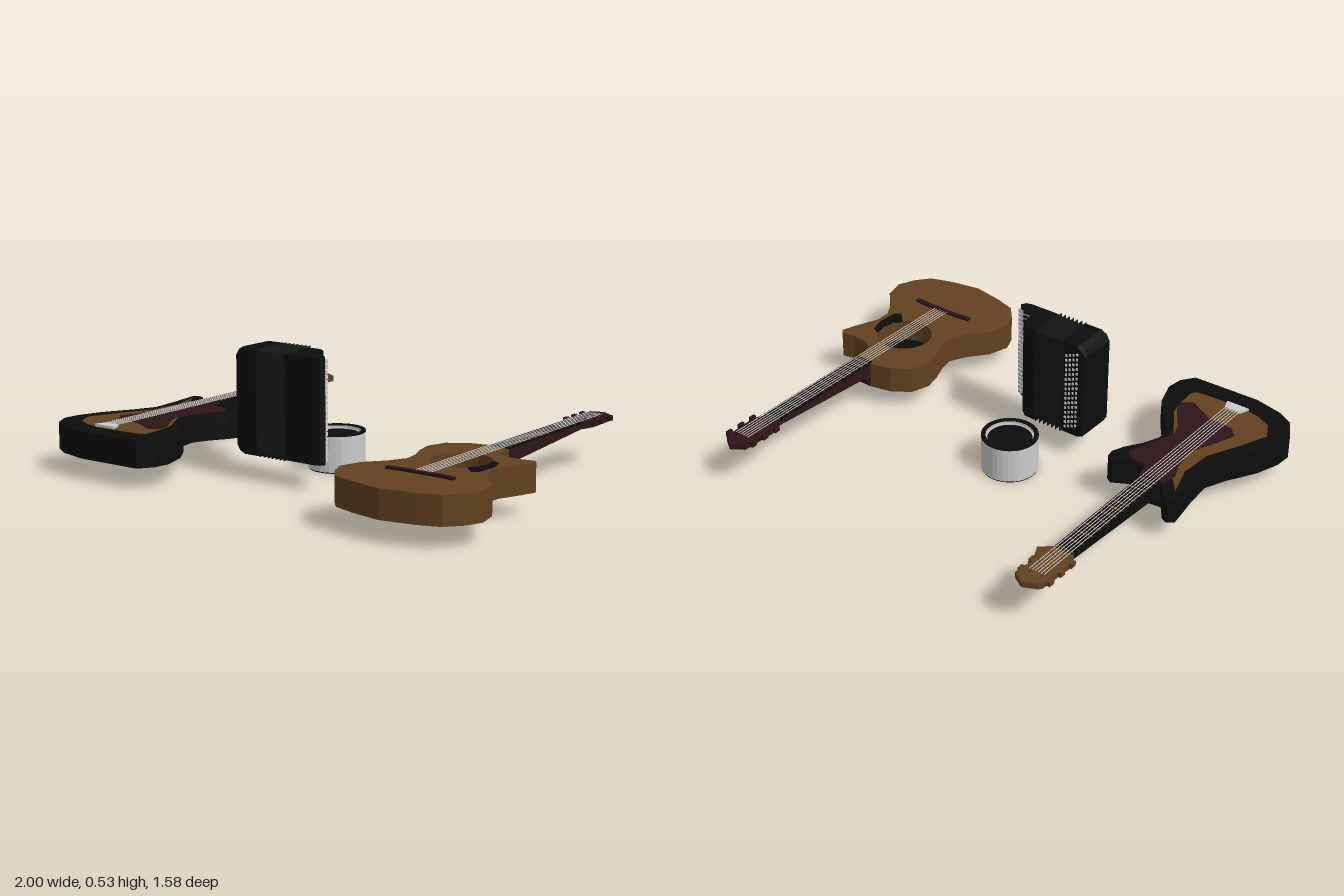
import * as THREE from 'three';

const mat = (color) => new THREE.MeshStandardMaterial({ color, flatShading: true });
const black = mat(0x0d0d0d), brown = mat(0x62411f), maroon = mat(0x2e1518), grey = mat(0xcccccc);

function add(parent, name, geometry, material, x = 0, y = 0, z = 0) {
  const mesh = new THREE.Mesh(geometry, material);
  mesh.name = name;
  mesh.position.set(x, y, z);
  parent.add(mesh);
  return mesh;
}
const box = (w, h, d) => new THREE.BoxGeometry(w, h, d);

// Extrude an outline given as [x, z] pairs from height y0 up to y1
function plan(points, y0, y1, hole) {
  const shape = new THREE.Shape(points.map(([x, z]) => new THREE.Vector2(x, -z)));
  if (hole) {
    const path = new THREE.Path();
    path.absarc(hole.x, -hole.z, hole.r, 0, Math.PI * 2, true);
    shape.holes.push(path);
  }
  const g = new THREE.ExtrudeGeometry(shape, { depth: y1 - y0, bevelEnabled: false, curveSegments: 12 });
  return g.rotateX(-Math.PI / 2).translate(0, y0, 0);
}

// Neck, frets, headstock, tuners and strings, shared by both guitars
function addNeck(g, cx, { neckMat, headMat, head, heel, bridgeZ }) {
  const side = new THREE.Shape(heel.concat([[-0.035, 0.14], [-0.55, 0.175], [-0.56, 0.195], [heel[0][0], 0.195]])
    .map(([z, y]) => new THREE.Vector2(-z, y)));
  const neck = new THREE.ExtrudeGeometry(side, { depth: 0.08, bevelEnabled: false });
  neck.rotateY(Math.PI / 2).translate(cx - 0.04, 0, 0);
  add(g, 'neck', neck, neckMat);
  add(g, 'fretboard', box(0.08, 0.006, 0.57), black, cx, 0.198, -0.27);
  for (let n = 0; n <= 12; n++) {
    const z = -0.55 + 1.07 * (1 - Math.pow(2, -n / 12));
    add(g, 'fret', box(0.078, 0.003, 0.006), brown, cx, 0.2015, z);
  }
  add(g, 'headstock', plan(head.map(([x, z]) => [cx + x, z]), 0.172, 0.197), headMat);
  for (const z of [-0.725, -0.66, -0.595]) {
    for (const s of [-1, 1]) {
      add(g, 'tunerShaft', box(0.03, 0.01, 0.012), headMat, cx + s * 0.05, 0.188, z);
      add(g, 'tunerKnob', box(0.014, 0.02, 0.026), headMat, cx + s * 0.064, 0.19, z);
      add(g, 'tunerPost', new THREE.CylinderGeometry(0.006, 0.006, 0.012, 6), headMat, cx + s * 0.025, 0.2, z);
    }
  }
  for (let i = 0; i < 6; i++) {
    const length = bridgeZ + 0.72;
    add(g, 'string', box(0.0025, 0.002, length), grey, cx + (i - 2.5) * 0.0125, 0.205, bridgeZ - length / 2);
  }
}

function electricGuitar() {
  const g = new THREE.Group();
  g.name = 'electricGuitar';
  const body = [[-0.88, -0.04], [-0.85, -0.06], [-0.825, -0.045], [-0.785, 0.01], [-0.69, 0], [-0.67, 0.05],
    [-0.63, 0.08], [-0.54, 0.03], [-0.515, 0.045], [-0.51, 0.08], [-0.53, 0.13], [-0.575, 0.2], [-0.605, 0.27],
    [-0.595, 0.34], [-0.53, 0.41], [-0.465, 0.5], [-0.43, 0.61], [-0.44, 0.68], [-0.48, 0.735], [-0.77, 0.74],
    [-0.895, 0.71], [-0.96, 0.67], [-1, 0.6], [-0.995, 0.53], [-0.96, 0.43], [-0.89, 0.31], [-0.85, 0.22], [-0.86, 0.1]];
  add(g, 'body', plan(body, 0.085, 0.194), black);
  const burst = [[-0.85, 0], [-0.8, 0.06], [-0.6, 0.12], [-0.65, 0.3], [-0.55, 0.46], [-0.535, 0.54], [-0.53, 0.62],
    [-0.55, 0.64], [-0.72, 0.65], [-0.83, 0.635], [-0.9, 0.6], [-0.935, 0.53], [-0.89, 0.42], [-0.82, 0.27], [-0.81, 0.13]];
  add(g, 'topInlay', plan(burst, 0.19, 0.196), brown);
  const guard = [[-0.785, 0.01], [-0.69, 0], [-0.67, 0.07], [-0.59, 0.08], [-0.565, 0.12], [-0.6, 0.21], [-0.64, 0.32],
    [-0.62, 0.38], [-0.55, 0.48], [-0.54, 0.53], [-0.58, 0.56], [-0.69, 0.5], [-0.8, 0.49], [-0.835, 0.45],
    [-0.8, 0.36], [-0.755, 0.25], [-0.77, 0.15], [-0.8, 0.08]];
  add(g, 'pickguard', plan(guard, 0.19, 0.199), maroon);
  add(g, 'bridge', plan([[-0.765, 0.6], [-0.7, 0.6], [-0.685, 0.645], [-0.785, 0.645]], 0.19, 0.206), grey);
  addNeck(g, -0.735, {
    neckMat: black, headMat: brown, bridgeZ: 0.61,
    heel: [[0.03, 0.12], [-0.01, 0.12]],
    head: [[-0.04, -0.55], [-0.06, -0.6], [-0.05, -0.75], [-0.04, -0.765], [0.015, -0.79], [0.065, -0.76],
      [0.055, -0.67], [0.09, -0.595], [0.04, -0.55]],
  });
  return g;
}

function acousticGuitar() {
  const g = new THREE.Group();
  g.name = 'acousticGuitar';
  const body = [[0.655, 0], [0.565, 0.02], [0.49, 0.07], [0.465, 0.15], [0.48, 0.22], [0.51, 0.3], [0.52, 0.36],
    [0.485, 0.43], [0.42, 0.51], [0.392, 0.6], [0.42, 0.67], [0.47, 0.73], [0.565, 0.76], [0.695, 0.785],
    [0.83, 0.76], [0.92, 0.73], [0.97, 0.67], [1, 0.6], [0.98, 0.51], [0.91, 0.435], [0.87, 0.365], [0.87, 0.3],
    [0.91, 0.205], [0.932, 0.14], [0.915, 0.12], [0.86, 0.13], [0.79, 0.125], [0.75, 0.1], [0.735, 0.055], [0.735, 0]];
  const hole = { x: 0.695, z: 0.27, r: 0.118 };
  add(g, 'bodyBack', plan(body, 0.085, 0.1), brown);
  add(g, 'body', plan(body, 0.1, 0.197, hole), brown);
  add(g, 'soundHoleFloor', new THREE.CylinderGeometry(0.119, 0.119, 0.004, 24), black, hole.x, 0.102, hole.z);
  const guard = [[0.775, 0.355], [0.82, 0.4], [0.845, 0.38], [0.85, 0.29], [0.83, 0.23], [0.8, 0.215], [0.813, 0.27], [0.8, 0.325]];
  add(g, 'pickguard', plan(guard, 0.192, 0.199), black);
  const bridge = [[0.55, 0.525], [0.62, 0.518], [0.77, 0.518], [0.84, 0.525], [0.84, 0.545], [0.77, 0.538], [0.62, 0.538], [0.55, 0.545]];
  add(g, 'bridge', plan(bridge, 0.192, 0.207), maroon);
  addNeck(g, 0.695, {
    neckMat: maroon, headMat: maroon, bridgeZ: 0.525,
    heel: [[0.01, 0.085], [0, 0.085]],
    head: [[-0.04, -0.55], [-0.055, -0.61], [-0.05, -0.755], [0, -0.79], [0.05, -0.755], [0.055, -0.61], [0.04, -0.55]],
  });
  return g;
}

function accordion() {
  const g = new THREE.Group();
  g.name = 'accordion';
  // Bass end with clipped outer corners
  const end = new THREE.Shape([[-0.19, 0.1], [-0.265, 0.1], [-0.29, 0.11], [-0.305, 0.135], [-0.305, 0.49],
    [-0.29, 0.515], [-0.265, 0.528], [-0.19, 0.528]].map(([x, y]) => new THREE.Vector2(x, y)));
  add(g, 'bassEnd', new THREE.ExtrudeGeometry(end, {
    depth: 0.15, bevelEnabled: true, bevelThickness: 0.01, bevelSize: 0.01, bevelOffset: -0.01, bevelSegments: 1,
  }), black, 0, 0, 0.195);
  // Pleated bellows: rectangular rings of alternating size
  const pos = [], idx = [], rings = 15;
  for (let i = 0; i < rings; i++) {
    const x = -0.195 + (0.14 * i) / (rings - 1), t = i % 2 ? 0 : 0.02;
    const y0 = 0.1 + t, y1 = 0.528 - t, z0 = 0.183 + t * 0.6, z1 = 0.355 - t * 0.6;
    pos.push(x, y0, z0, x, y0, z1, x, y1, z1, x, y1, z0);
    for (let k = 0; i && k < 4; k++) {
      const a = (i - 1) * 4 + k, b = (i - 1) * 4 + ((k + 1) % 4);
      idx.push(a, a + 4, b, b, a + 4, b + 4);
    }
  }
  const bellows = new THREE.BufferGeometry();
  bellows.setAttribute('position', new THREE.Float32BufferAttribute(pos, 3));
  bellows.setIndex(idx);
  bellows.computeVertexNormals();
  const bellowsMat = mat(0x0d0d0d);
  bellowsMat.side = THREE.DoubleSide;
  add(g, 'bellows', bellows, bellowsMat);
  // Treble end tapering into the keyboard
  const treble = [[-0.06, 0.185], [-0.01, 0.187], [0.018, 0.21], [0.03, 0.27], [0.05, 0.293], [0.1, 0.305],
    [0.115, 0.325], [0.105, 0.345], [0.08, 0.352], [-0.06, 0.352]];
  add(g, 'trebleEnd', plan(treble, 0.105, 0.52), black);
  const keys = 20, step = 0.4 / keys;
  for (let i = 0; i < keys; i++) {
    const y = 0.1125 + step * (i + 0.5);
    add(g, 'key', box(0.068, step * 0.8, 0.012), grey, 0.078, y, 0.303).rotation.y = -0.2;
    if (![2, 6].includes(i % 7)) add(g, 'sharpKey', box(0.035, step * 0.5, 0.01), black, 0.06, y + step / 2, 0.294);
  }
  // Slanted rows of bass buttons
  for (let row = 0; row < 16; row++) {
    for (let col = 0; col < 4; col++) {
      add(g, 'bassButton', box(0.008, 0.01, 0.006), grey, -0.212 - col * 0.017, 0.135 + row * 0.022 + col * 0.007, 0.184);
    }
  }
  return g;
}

function drum() {
  const g = new THREE.Group();
  g.name = 'drum';
  g.position.set(-0.09, 0, -0.02);
  const ring = (r0, r1, y0, y1) => new THREE.LatheGeometry(
    [[r0, y0], [r1, y0], [r1, y1], [r0, y1], [r0, y0]].map(([r, y]) => new THREE.Vector2(r, y)), 32);
  add(g, 'shell', ring(0.095, 0.114, 0.004, 0.152), grey);
  add(g, 'topHoop', ring(0.097, 0.115, 0.15, 0.157), black);
  add(g, 'bottomHoop', ring(0.097, 0.113, 0, 0.006), black);
  add(g, 'topHead', new THREE.CylinderGeometry(0.092, 0.092, 0.004, 32), black, 0, 0.138, 0);
  add(g, 'headRing', ring(0.09, 0.097, 0.13, 0.143), grey);
  add(g, 'bottomHead', new THREE.CylinderGeometry(0.098, 0.098, 0.004, 32), black, 0, 0.006, 0);
  return g;
}

export function createModel() {
  const model = new THREE.Group();
  model.name = 'instruments';
  model.add(electricGuitar(), acousticGuitar(), accordion(), drum());
  return model;
}
